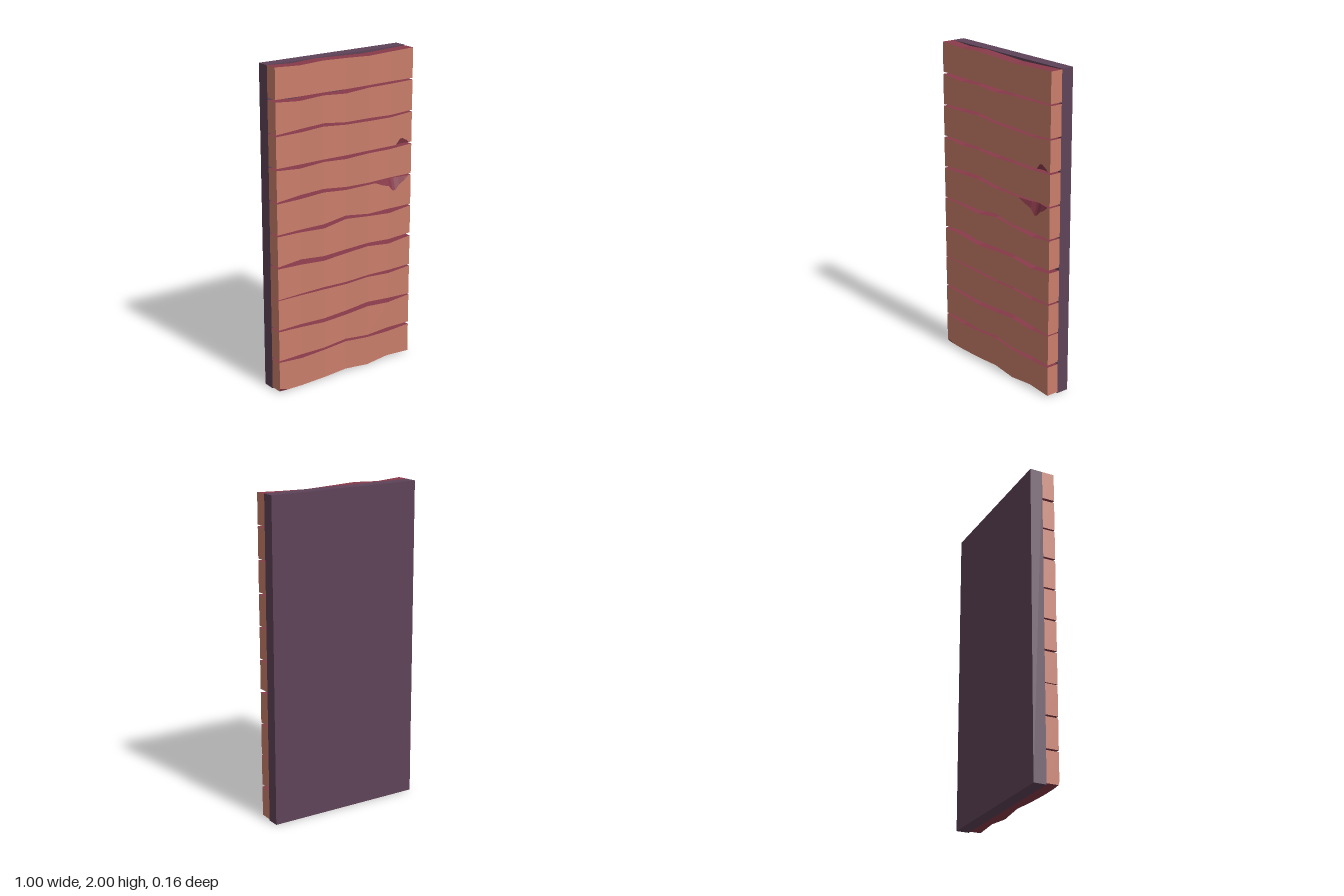
import * as THREE from 'three';

const salmon = new THREE.MeshStandardMaterial({ color: 0xc97d6a });
salmon.name = 'salmon wood';
const maroon = new THREE.MeshStandardMaterial({ color: 0x883a4a });
maroon.name = 'maroon cut edge';
const purple = new THREE.MeshStandardMaterial({ color: 0x5e4358 });
purple.name = 'dark purple backing';

// Offsets (thousandths) of plank edges from each 0.2 seam, at seven even stations in x
const lowerEdges = [ // bottom edge of the plank above seam 0, 1, 2 ...
  [8, 3, 10, 18, 2, 18, 8], [10, 10, 10, 22, 5, 12, 10], [10, 10, 5, 12, 30, 15, 7],
  [5, 7, 10, 2, 10, 4, 8], [12, 25, 10, 15, 22, 10, 20], [10, 12, 12, 32, 10, 10, 10],
  [10, 25, 32, 12, 8, 10, 10], [12, 10, 12, 8, 10, 8, 12], [10, 20, 30, 10, 10, 3, 12],
  [15, 11, 12, 8, 10, 10, 10],
];
const upperEdges = [ // top edge of the plank below seam 1, 2, 3 ...
  [0, -15, -5, 5, -10, -15, -5], [0, -10, -20, -15, 0, -15, 0], [0, -3, -5, -12, -3, -17, -3],
  [0, -8, -20, -10, 0, -20, 0], [0, -5, -15, 10, -5, -20, 0], [0, 0, 10, -7, -5, -5, 0],
  [0, -15, -3, -15, -7, -10, 0], [0, 0, 10, -5, -8, -12, 2], [0, -15, -5, -18, -5, -5, 0],
  [0, -10, -2, -8, -15, -10, -4],
];

// Broken-out chips: [x, height] along a plank edge
const chips = [
  { plank: 5, edge: 'top', pts: [[0.22, 0], [0.28, 0.025], [0.33, 0.04], [0.36, 0.075], [0.38, 0.075], [0.41, 0.045], [0.45, 0.025], [0.48, 0]] },
  { plank: 7, edge: 'bottom', pts: [[0.38, 0], [0.41, 0.033], [0.43, 0.035], [0.46, 0.018], [0.48, 0]] },
  { plank: 0, edge: 'bottom', pts: [[-0.5, 0.02], [-0.44, 0]] },
];

const stations = [0, 1, 2, 3, 4, 5, 6].map((i) => -0.5 + i / 6);

function interpolate(pts, x) {
  for (let i = 0; i < pts.length - 1; i++) {
    const [x0, y0] = pts[i], [x1, y1] = pts[i + 1];
    if (x >= x0 && x <= x1) return y0 + (y1 - y0) * (x - x0) / (x1 - x0);
  }
  return 0;
}

function plankGeometry(n) {
  const bottomLine = stations.map((x, i) => [x, n * 0.2 + lowerEdges[n][i] / 1000]);
  const topLine = stations.map((x, i) => [x, (n + 1) * 0.2 + upperEdges[n][i] / 1000]);
  const frontLine = stations.map((x) => [x, 0.078 - 0.002 * Math.cos(x * Math.PI * 2 / 0.36)]);
  const own = chips.filter((c) => c.plank === n);
  const chipAt = (edge, x) => own.filter((c) => c.edge === edge).reduce((s, c) => s + interpolate(c.pts, x), 0);
  const xs = [...new Set([...stations, ...own.flatMap((c) => c.pts.map((p) => p[0]))])].sort((a, b) => a - b);

  // Cross-section from back bottom, round the front, to back top
  const sections = xs.map((x) => {
    const b = interpolate(bottomLine, x), t = interpolate(topLine, x), z = interpolate(frontLine, x);
    const cb = chipAt('bottom', x), ct = chipAt('top', x);
    return [[b, 0], [b, z - cb * 0.3], [b + cb, z], [t - ct, z], [t, z - ct * 0.3], [t, 0]]
      .map(([y, zz]) => new THREE.Vector3(x, y, zz));
  });

  const faces = [[], []]; // salmon, maroon
  const tri = (m, a, b, c) => {
    const area = b.clone().sub(a).cross(c.clone().sub(a)).length();
    if (area > 1e-9) for (const p of [a, b, c]) faces[m].push(p.x, p.y, p.z);
  };
  for (let i = 0; i < xs.length - 1; i++) {
    const s = sections[i], e = sections[i + 1];
    for (let k = 0; k < 5; k++) {
      const m = k === 2 ? 0 : 1;
      tri(m, s[k], e[k], e[k + 1]);
      tri(m, s[k], e[k + 1], s[k + 1]);
    }
  }
  // Salmon end caps
  const left = sections[0], right = sections[sections.length - 1];
  for (let k = 1; k < 5; k++) {
    tri(0, left[0], left[k], left[k + 1]);
    tri(0, right[0], right[k + 1], right[k]);
  }

  const g = new THREE.BufferGeometry();
  g.setAttribute('position', new THREE.Float32BufferAttribute([...faces[0], ...faces[1]], 3));
  g.addGroup(0, faces[0].length / 3, 0);
  g.addGroup(faces[0].length / 3, faces[1].length / 3, 1);
  g.computeVertexNormals();
  return g;
}

export function createModel() {
  const model = new THREE.Group();
  model.name = 'plankWall';

  // Solid backing board
  const backing = new THREE.Mesh(new THREE.BoxGeometry(1, 2, 0.08), purple);
  backing.name = 'backingBoard';
  backing.position.set(0, 1, -0.04);
  model.add(backing);

  // Ten wavy-edged planks
  for (let n = 0; n < 10; n++) {
    const plank = new THREE.Mesh(plankGeometry(n), [salmon, maroon]);
    plank.name = `plank${n + 1}`;
    model.add(plank);
  }
  return model;
}
